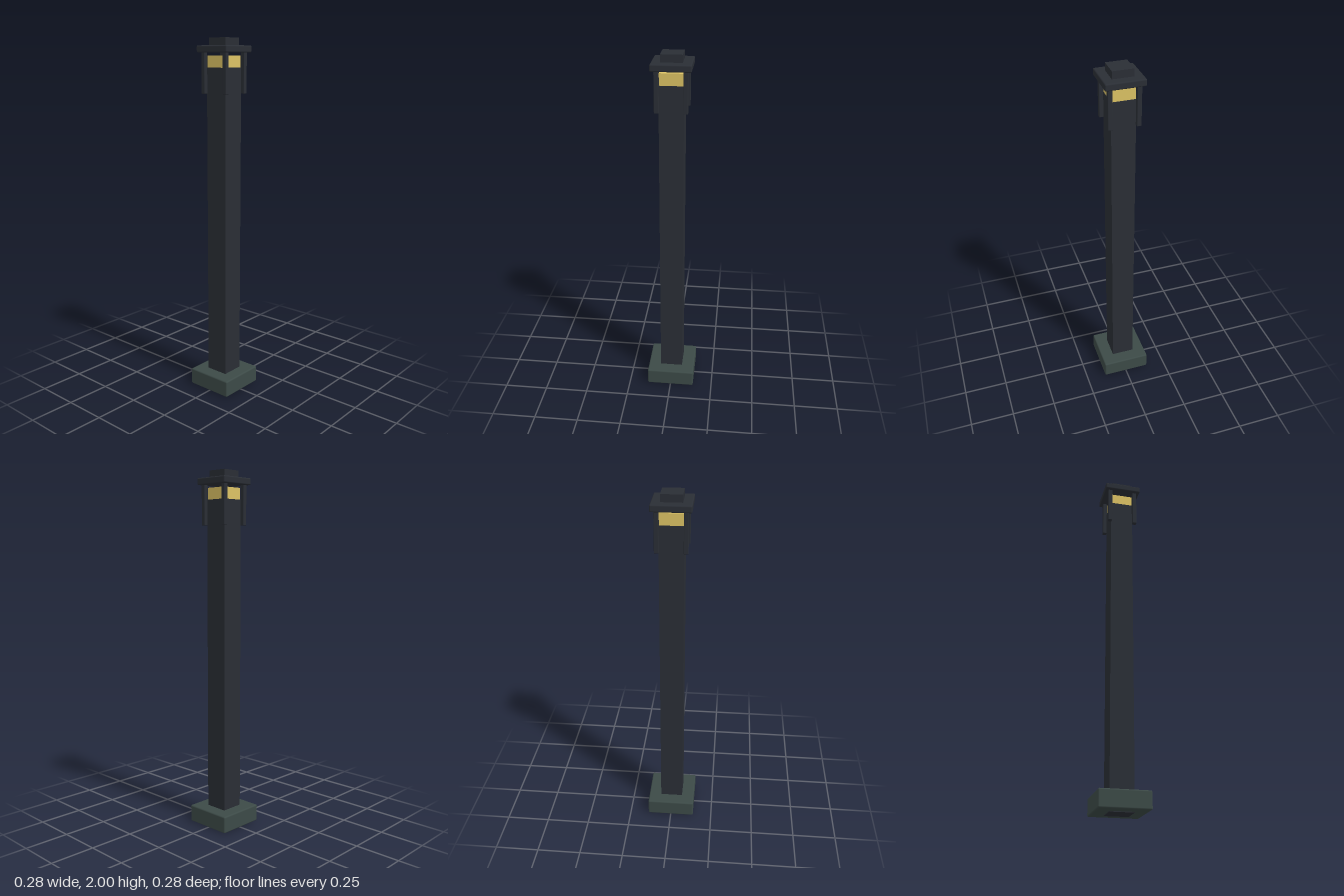
import * as THREE from 'three';
import { RoundedBoxGeometry } from 'three/addons/geometries/RoundedBoxGeometry.js';

const mat = (color) => new THREE.MeshStandardMaterial({ color });

export function createModel() {
  const group = new THREE.Group();
  const metal = mat(0x2a2e35);
  const stone = mat(0x3c4a47);
  const glow = mat(0xdcc264);

  // Square block centred on (x, z), spanning y0 to y1, with optional rounded edges
  function block(name, width, y0, y1, material, radius = 0, x = 0, z = 0) {
    const h = y1 - y0;
    const geometry = radius
      ? new RoundedBoxGeometry(width, h, width, 3, radius)
      : new THREE.BoxGeometry(width, h, width);
    const mesh = new THREE.Mesh(geometry, material);
    mesh.name = name;
    mesh.position.set(x, (y0 + y1) / 2, z);
    group.add(mesh);
  }

  // Footing and shaft
  block('base', 0.276, 0.004, 0.1, stone, 0.008);
  block('post', 0.13, 0, 1.845, metal);

  // Lamp, with an open gap above it
  block('lamp', 0.125, 1.845, 1.908, glow);

  // Corner brackets carrying the cap
  for (const sx of [-1, 1]) {
    for (const sz of [-1, 1]) {
      block('capBracket', 0.024, 1.707, 1.93, metal, 0.003, sx * 0.075, sz * 0.075);
    }
  }

  // Cap and finial
  block('cap', 0.21, 1.923, 1.96, metal, 0.007);
  block('finial', 0.113, 1.955, 2, metal);

  return group;
}
